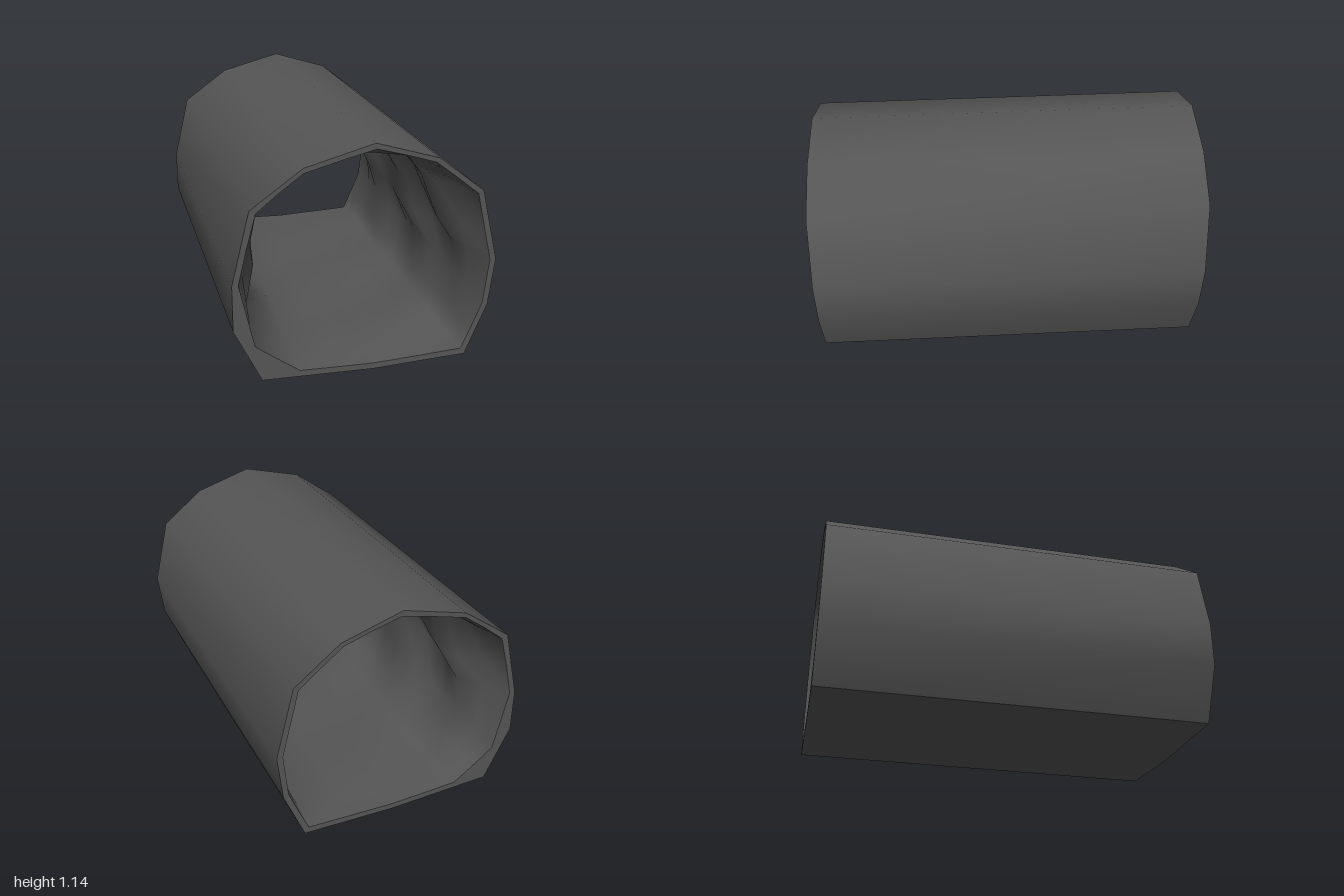
import * as THREE from 'three';

// Outer section, clockwise from the lower left corner over the crown
const OUTER = [
  [-0.49, 0.025], [-0.62, 0.295], [-0.62, 0.52], [-0.535, 0.87], [-0.29, 1.045], [0.04, 1.133],
  [0.345, 1.04], [0.57, 0.865], [0.655, 0.51], [0.627, 0.275], [0.52, 0.018], [0.05, 0.005],
];

// Inner section, clockwise from the crown: x, y at the mouths, then x, y where the rough lining is narrowest
const INNER = [
  [0.045, 1.105, 0.0, 0.985], [0.19, 1.065, 0.19, 1.005], [0.33, 1.02, 0.27, 0.96], [0.44, 0.935, 0.34, 0.88],
  [0.545, 0.85, 0.39, 0.81], [0.585, 0.68, 0.45, 0.63], [0.625, 0.51, 0.465, 0.5], [0.6, 0.285, 0.535, 0.37],
  [0.55, 0.165, 0.48, 0.2], [0.5, 0.05, 0.45, 0.11], [0.28, 0.042, 0.24, 0.085], [0.05, 0.035, 0.0, 0.07],
  [-0.13, 0.042, -0.15, 0.085], [-0.31, 0.05, -0.31, 0.1], [-0.42, 0.13, -0.39, 0.19], [-0.52, 0.205, -0.5, 0.33],
  [-0.59, 0.52, -0.45, 0.48], [-0.55, 0.69, -0.46, 0.6], [-0.505, 0.855, -0.44, 0.78], [-0.4, 0.94, -0.33, 0.935],
  [-0.29, 1.02, -0.21, 1.01], [-0.12, 1.065, -0.12, 0.985],
];

// The tunnel lies slightly askew: t runs from the front mouth (0) to the back (1)
function place(x, y, t) {
  const px = x - 0.04 * t;
  return [px, y + 0.015 * t, 0.988 * (1 - 2 * t) - 0.02 * px];
}

// Skin through cross-sections; point(j, t) gives x, y of column j
function skin(columns, rows, closed, inward, point) {
  const positions = [], index = [];
  for (let i = 0; i <= rows; i++) {
    for (let j = 0; j < columns; j++) positions.push(...place(...point(j, i / rows), i / rows));
  }
  for (let i = 0; i < rows; i++) {
    for (let j = 0; j < (closed ? columns : columns - 1); j++) {
      const k = (j + 1) % columns;
      const a = i * columns + j, b = i * columns + k, c = a + columns, d = b + columns;
      if (inward) index.push(a, c, b, b, c, d);
      else index.push(a, b, c, b, d, c);
    }
  }
  const geometry = new THREE.BufferGeometry();
  geometry.setAttribute('position', new THREE.Float32BufferAttribute(positions, 3));
  geometry.setIndex(index);
  geometry.computeVertexNormals();
  return geometry;
}

// Flat ring that closes the wall at one mouth
function rim(t) {
  const toPoints = (list) => list.map(([x, y]) => new THREE.Vector2(x, y));
  const shape = new THREE.Shape(toPoints(OUTER));
  shape.holes.push(new THREE.Path(toPoints(INNER)));
  const geometry = new THREE.ShapeGeometry(shape);
  const p = geometry.attributes.position;
  for (let i = 0; i < p.count; i++) p.setXYZ(i, ...place(p.getX(i), p.getY(i), t));
  if (t === 1) geometry.index.array.reverse();
  geometry.computeVertexNormals();
  return geometry;
}

export function createModel() {
  const group = new THREE.Group();
  group.name = 'tunnel';
  const stone = new THREE.MeshStandardMaterial({ color: 0x555555 });
  stone.name = 'darkGrey';

  const add = (name, geometry) => {
    const mesh = new THREE.Mesh(geometry, stone);
    mesh.name = name;
    group.add(mesh);
  };

  // Smooth outer vault and the flat underside
  add('outerVault', skin(11, 1, false, false, (j) => OUTER[j]));
  const base = [OUTER[10], OUTER[11], OUTER[0]];
  add('underside', skin(3, 1, false, false, (j) => base[j]));

  // Rough lining that swells inward between the mouths
  add('innerLining', skin(INNER.length, 14, true, true, (j, t) => {
    const [x, y, nx, ny] = INNER[j];
    const swell = Math.min(1, 2.2 * Math.sin(Math.PI * t));
    const w = swell * (0.65 + 0.35 * Math.sin(13 * t + j * 1.9) * Math.cos(5 * t - j * 0.8));
    // the narrow section is measured in fixed x, y, so undo the skew
    const sx = nx + 0.04 * t, sy = ny - 0.015 * t;
    return [x + (sx - x) * w, y + (sy - y) * w];
  }));

  add('frontRim', rim(0));
  add('backRim', rim(1));
  return group;
}
